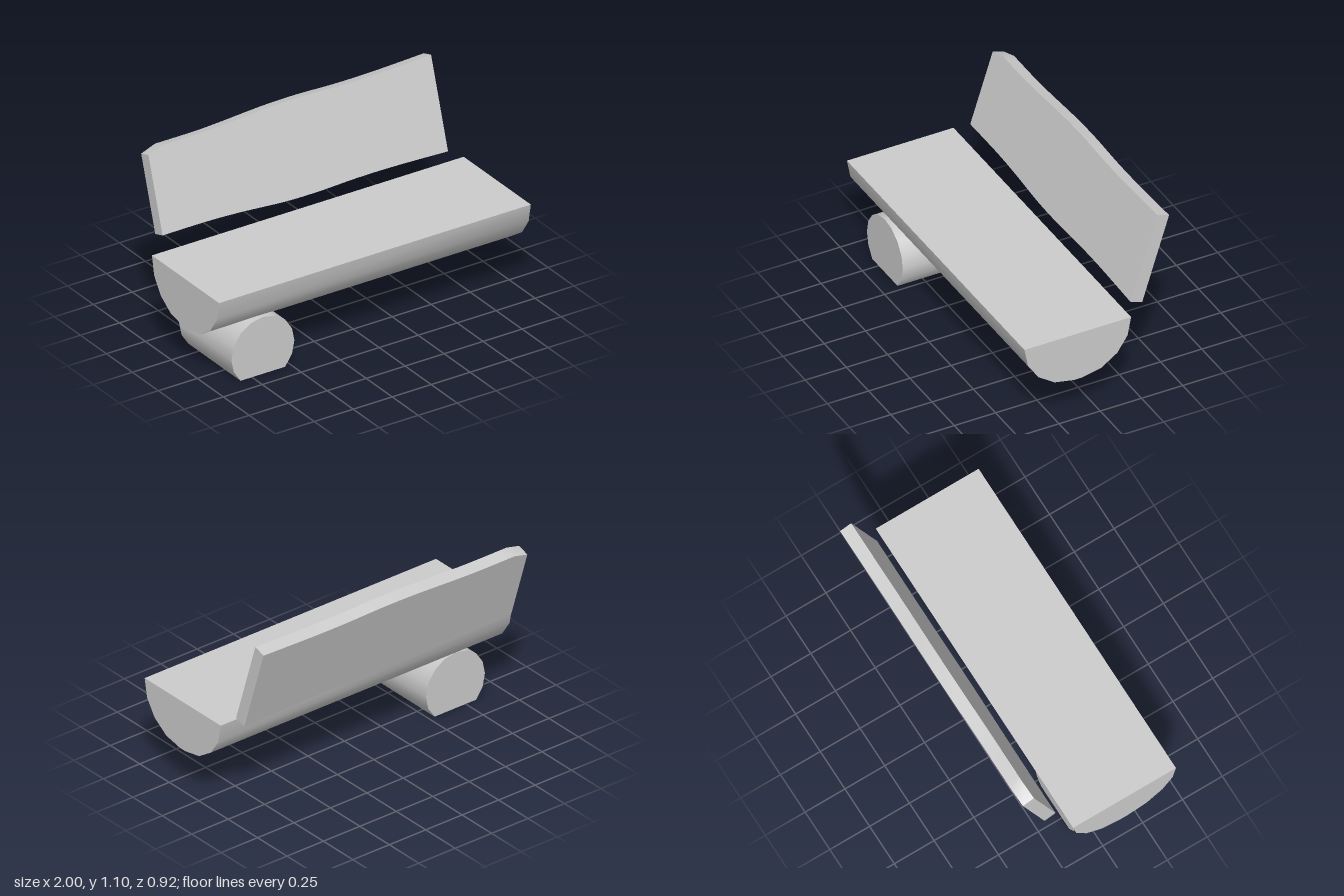
import * as THREE from 'three';
import { toCreasedNormals } from 'three/addons/utils/BufferGeometryUtils.js';

const v2 = (x, y) => new THREE.Vector2(x, y);

// Extrude an outline along local z; gentle bends stay smooth, corners stay sharp
function prism(name, points, depth) {
  const shape = new THREE.Shape(points);
  const flat = new THREE.ExtrudeGeometry(shape, { depth, bevelEnabled: false });
  const mesh = new THREE.Mesh(
    toCreasedNormals(flat, 0.65),
    new THREE.MeshStandardMaterial({ color: 0xcccccc })
  );
  mesh.name = name;
  return mesh;
}

export function createModel() {
  const bench = new THREE.Group();
  bench.name = 'logBench';

  // Seat: split log with its flat side up, lying along x
  const half = [[0.323, 0.55], [0.302, 0.439], [0.239, 0.345], [0.14, 0.278], [0.023, 0.255]];
  const seatOutline = [
    ...half.map(([d, y]) => v2(-0.136 - d, y)),
    ...half.slice().reverse().map(([d, y]) => v2(-0.136 + d, y)),
  ];
  const seat = prism('seat', seatOutline, 2);
  seat.rotation.y = Math.PI / 2;
  seat.position.x = -1;
  bench.add(seat);

  // Support: short log along z, cut flat underneath
  const r = 0.202;
  const logOutline = [];
  for (let i = -2; i <= 10; i++) {
    const a = (i * Math.PI) / 8;
    logOutline.push(v2(r * Math.cos(a), r * (Math.sin(a) + Math.SQRT1_2)));
  }
  const log = prism('supportLog', logOutline, 0.503);
  log.position.set(-0.68, 0, -0.102);
  bench.add(log);

  // Backrest: leaning plank with wavy long edges (heights of its front face)
  const tilt = 0.308, baseY = 0.588;
  const wave = (pts) => new THREE.SplineCurve(
    pts.map(([x, y]) => v2(x, (y - baseY) / Math.cos(tilt)))
  ).getPoints(24);
  const bottom = wave([[-0.9, 0.619], [-0.6, 0.619], [-0.37, 0.61], [-0.12, 0.594],
    [0.1, 0.592], [0.35, 0.599], [0.6, 0.598], [0.925, 0.588]]);
  const top = wave([[0.925, 1.101], [0.6, 1.091], [0.35, 1.09], [0.1, 1.097],
    [-0.12, 1.094], [-0.37, 1.081], [-0.55, 1.074], [-0.805, 1.074]]);
  const corner = v2(-0.9, (1.046 - baseY) / Math.cos(tilt));
  const thickness = 0.073;
  const backrest = prism('backrest', [...bottom, ...top, corner], thickness);
  backrest.geometry.translate(0, 0, -thickness);
  backrest.rotation.x = -tilt;
  backrest.position.set(0, baseY, -0.225);
  bench.add(backrest);

  return bench;
}
